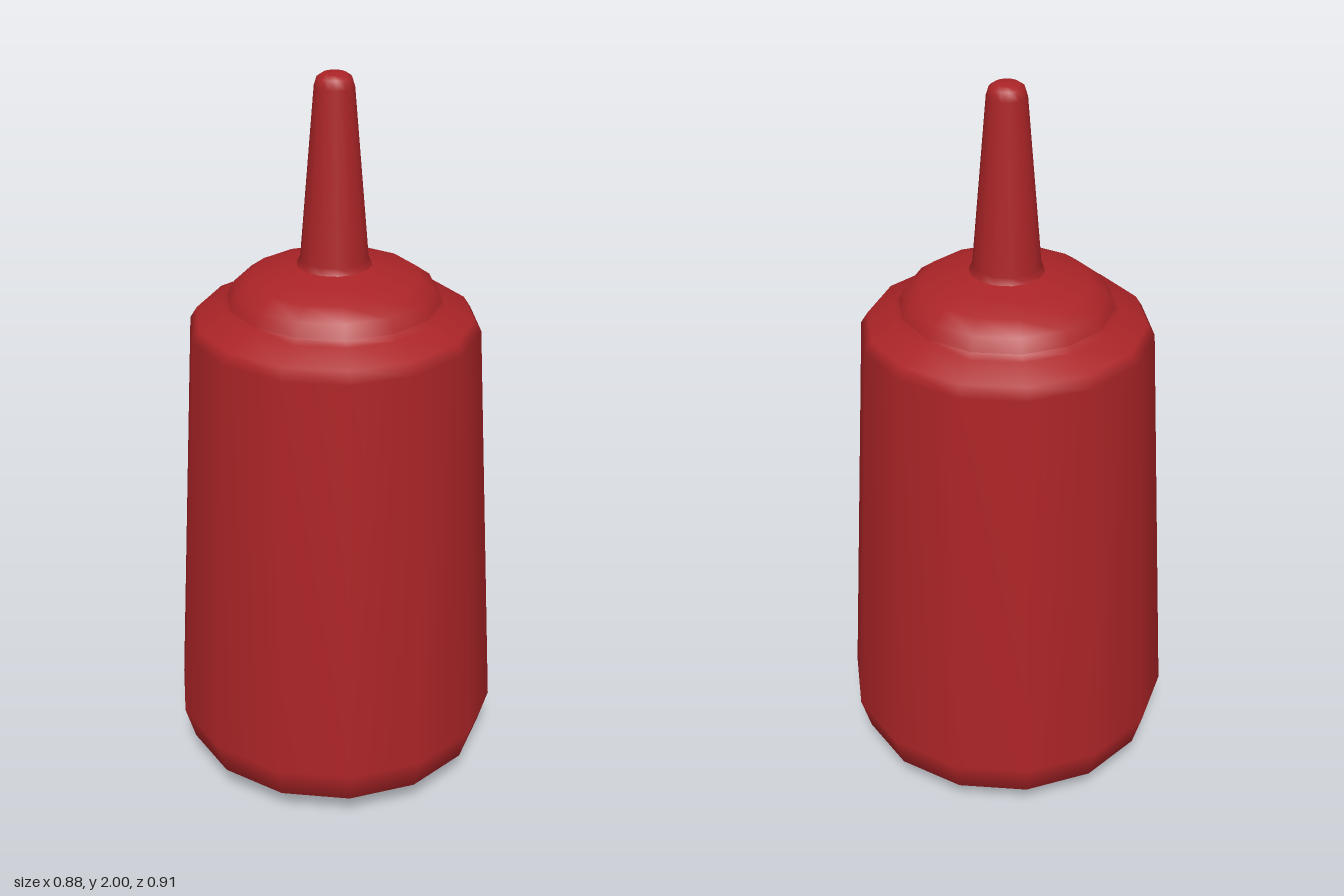
import * as THREE from 'three';

const SIDES = 14;

export function createModel() {
  const group = new THREE.Group();
  const red = new THREE.MeshStandardMaterial({ color: 0xab2427 });
  red.name = 'red plastic';

  // Revolve a [radius, height] profile, listed from bottom to top
  const turn = (name, profile) => {
    const points = profile.map(([r, y]) => new THREE.Vector2(r, y));
    const mesh = new THREE.Mesh(new THREE.LatheGeometry(points, SIDES), red);
    mesh.name = name;
    group.add(mesh);
  };

  // Tapered bottle with a slightly pointed base and rounded shoulder
  turn('bottleBody', [
    [0, 0.005], [0.355, 0.03], [0.425, 0.085], [0.453, 0.18],
    [0.389, 1.325], [0.37, 1.355], [0.3, 1.385], [0.285, 1.4],
  ]);

  // Domed screw cap
  turn('cap', [
    [0.285, 1.4], [0.267, 1.435], [0.225, 1.465], [0.16, 1.482], [0.095, 1.498],
  ]);

  // Long tapered nozzle with a rounded tip
  turn('nozzle', [
    [0.1, 1.496], [0.09, 1.515], [0.052, 1.965], [0.045, 1.988], [0.03, 1.998], [0, 2],
  ]);

  return group;
}
